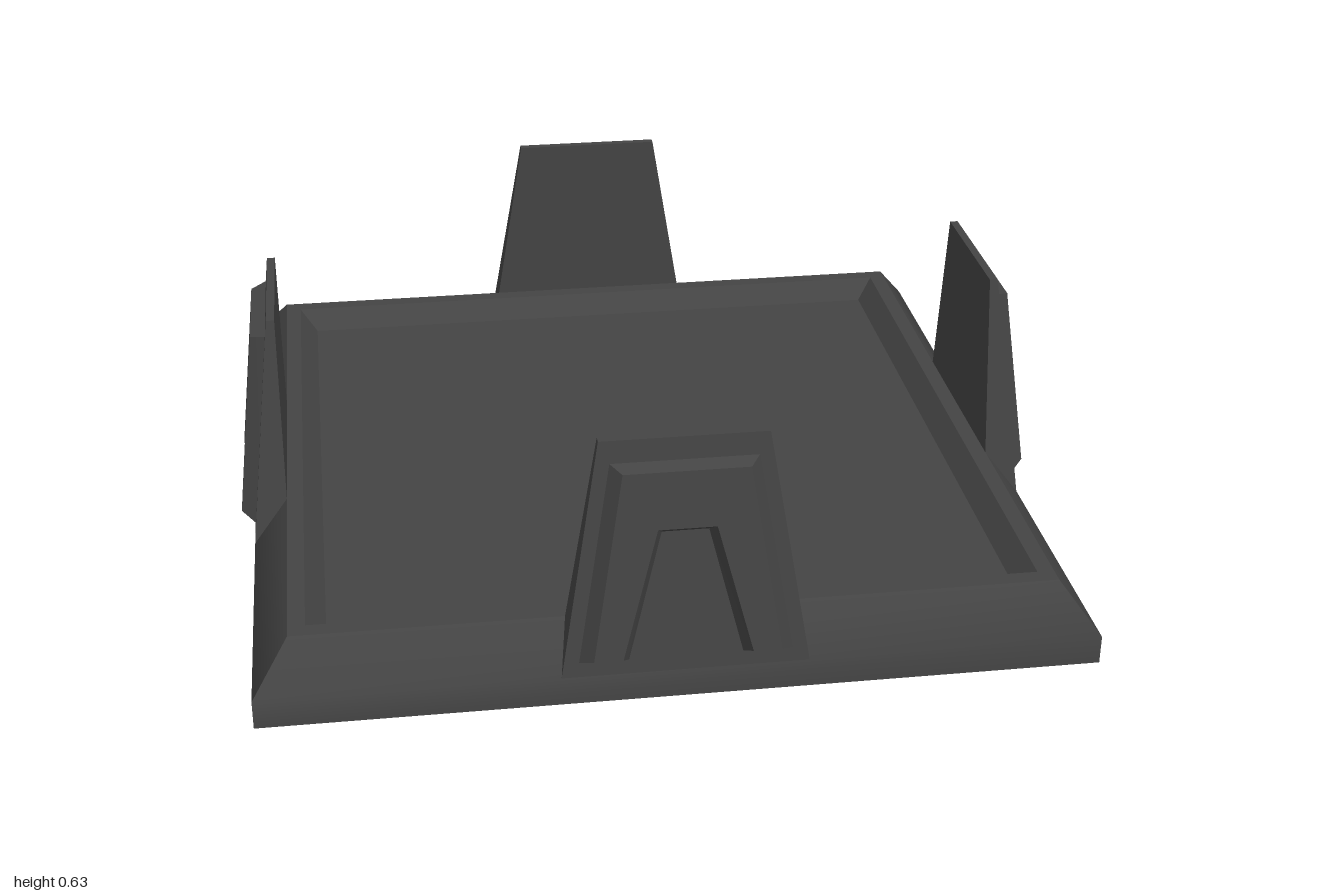
import * as THREE from 'three';
import { toCreasedNormals } from 'three/addons/utils/BufferGeometryUtils.js';

// Geometry from a list of four-cornered faces
function fromQuads(quads, crease) {
  const pos = [];
  for (const [a, b, c, d] of quads) pos.push(...a, ...b, ...c, ...a, ...c, ...d);
  const geo = new THREE.BufferGeometry();
  geo.setAttribute('position', new THREE.Float32BufferAttribute(pos, 3));
  return toCreasedNormals(geo, crease);
}

// Band of faces joining two closed loops
const band = (lo, hi) => lo.map((p, i) => {
  const j = (i + 1) % lo.length;
  return [p, lo[j], hi[j], hi[i]];
});

// Rectangle at height y, from z = back to z = front
const rect = (h, y, front, back) => [[h, y, front], [h, y, back], [-h, y, back], [-h, y, front]];

// Square tray: straight foot, sloped side, flat rim, inner bevel, floor
function trayGeometry() {
  const profile = [[0.97, 0], [0.97, 0.07], [0.885, 0.18], [0.845, 0.18], [0.8, 0.13]];
  const rings = profile.map(([h, y]) => rect(h, y, h, -h));
  const quads = [[...rings[0]].reverse(), rings[rings.length - 1]];
  for (let i = 0; i + 1 < rings.length; i++) quads.push(...band(rings[i], rings[i + 1]));
  return fromQuads(quads, 0.75);
}

// Outer face of each upright leans inward as it rises
const leanZ = (y) => 0.905 + (0.63 - y) * 0.116;

// Tapered upright slab
function slabGeometry() {
  const lo = rect(0.283, 0.07, leanZ(0.07), 0.885);
  const hi = rect(0.19, 0.63, leanZ(0.63), 0.885);
  return fromQuads([...band(lo, hi), hi, [...lo].reverse()], 0.1);
}

// Raised arch with bevelled edges on the slab's outer face
function archGeometry() {
  const outline = (half, lift) => [[-1, 0], [-1, 1], [-1, 2], [1, 2], [1, 1], [1, 0], [1, 3], [-1, 3]]
    .map(([side, k]) => [side * half[k][0], half[k][1], leanZ(half[k][1]) + lift]);
  // Half outlines: outer foot, inner foot, inner top, outer top
  const root = outline([[0.243, 0.105], [0.13, 0.105], [0.053, 0.41], [0.166, 0.577]], 0);
  const face = outline([[0.213, 0.125], [0.147, 0.125], [0.066, 0.433], [0.142, 0.568]], 0.036);
  const caps = [[0, 1, 2, 7], [2, 3, 6, 7], [3, 4, 5, 6]].map((q) => q.map((i) => face[i]));
  return fromQuads([...band(root, face), ...caps], 0.1);
}

export function createModel() {
  const model = new THREE.Group();
  model.name = 'trayWithUprights';
  const charcoal = new THREE.MeshStandardMaterial({ color: 0x444444 });
  charcoal.name = 'charcoal';

  const add = (parent, name, geo) => {
    const mesh = new THREE.Mesh(geo, charcoal);
    mesh.name = name;
    parent.add(mesh);
  };

  add(model, 'tray', trayGeometry());

  // One upright in the middle of each side
  const slab = slabGeometry();
  const arch = archGeometry();
  ['front', 'left', 'back', 'right'].forEach((side, i) => {
    const upright = new THREE.Group();
    upright.name = side + 'Upright';
    add(upright, side + 'Slab', slab);
    add(upright, side + 'Arch', arch);
    upright.rotation.y = i * Math.PI / 2;
    model.add(upright);
  });
  return model;
}
